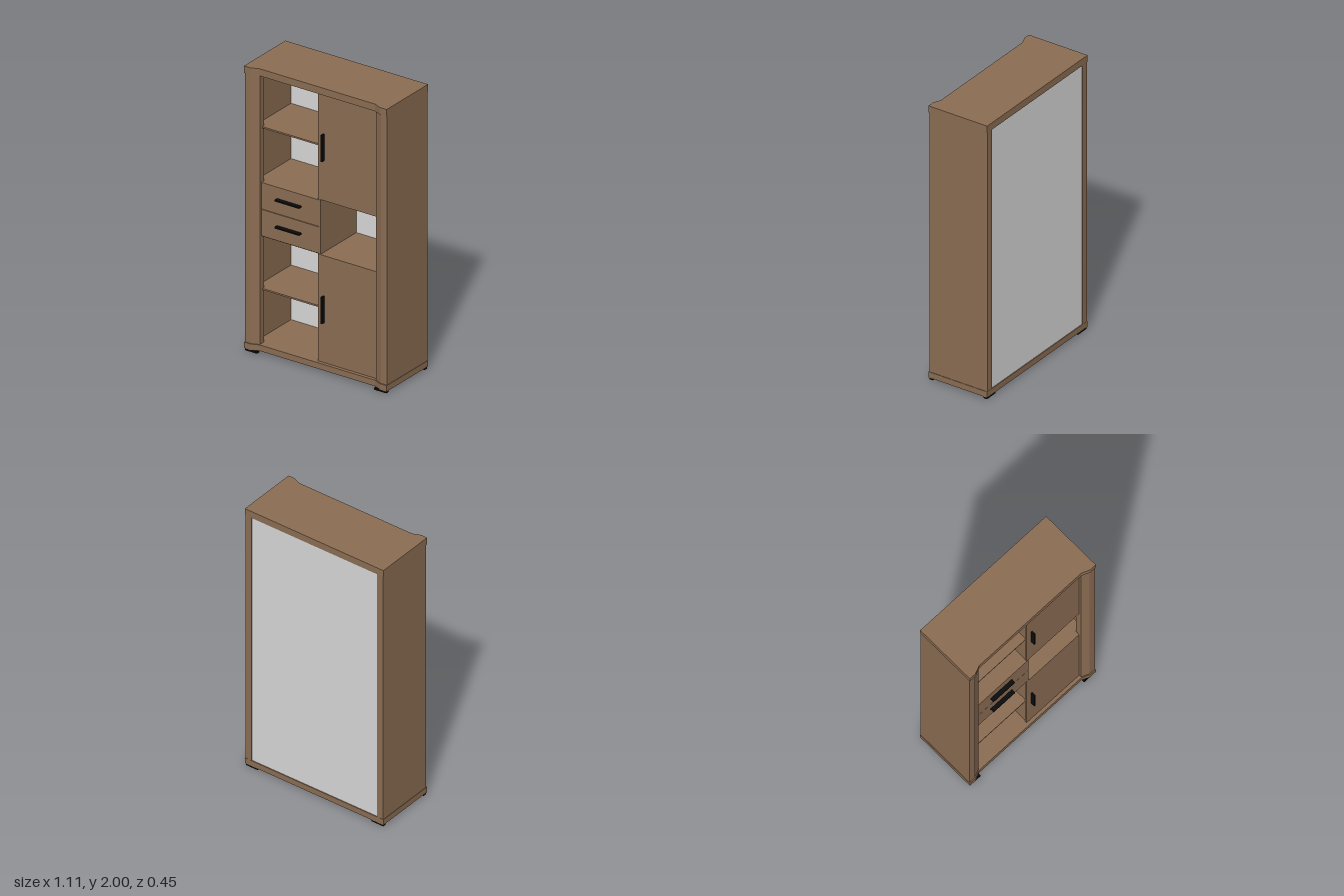
import * as THREE from 'three';

export function createModel() {
  const group = new THREE.Group();
  const wood = new THREE.MeshStandardMaterial({ color: 0x8b6d53 });
  wood.name = 'brown wood';
  const grey = new THREE.MeshStandardMaterial({ color: 0xd8d8d8 });
  grey.name = 'light grey back';
  const black = new THREE.MeshStandardMaterial({ color: 0x0c0c0c });
  black.name = 'black metal';

  const add = (name, geometry, material) => {
    const mesh = new THREE.Mesh(geometry, material);
    mesh.name = name;
    group.add(mesh);
    return mesh;
  };
  // Box given by its limits on each axis
  const box = (name, [x0, x1], [y0, y1], [z0, z1], material = wood) => {
    const mesh = add(name, new THREE.BoxGeometry(x1 - x0, y1 - y0, z1 - z0), material);
    mesh.position.set((x0 + x1) / 2, (y0 + y1) / 2, (z0 + z1) / 2);
    return mesh;
  };
  // Upright prism from a plan outline of [x, z] points
  const prism = (name, plan, y0, y1) => {
    const shape = new THREE.Shape(plan.map(([x, z]) => new THREE.Vector2(x, -z)));
    const geometry = new THREE.ExtrudeGeometry(shape, { depth: y1 - y0, bevelEnabled: false });
    geometry.rotateX(-Math.PI / 2).translate(0, y0, 0);
    return add(name, geometry, wood);
  };

  // Top and bottom boards with a recessed front edge
  const slab = [
    [-0.555, -0.228], [0.555, -0.228], [0.555, 0.227], [0.505, 0.227],
    [0.45, 0.204], [-0.45, 0.204], [-0.505, 0.227], [-0.555, 0.227],
  ];
  prism('topBoard', slab, 1.95, 2);
  prism('bottomBoard', slab, 0.015, 0.057);

  // Side walls, each widening into a chamfered front post
  for (const [side, s] of [['left', 1], ['right', -1]]) {
    const plan = [
      [0.552, -0.227], [0.552, 0.22], [0.505, 0.22], [0.452, 0.198],
      [0.452, 0.15], [0.502, 0.15], [0.502, -0.227],
    ].map(([x, z]) => [s * x, z]);
    prism(side + 'SideAndPost', plan, 0.057, 1.95);
  }

  // Back panel, set in slightly
  box('backPanel', [-0.502, 0.502], [0.057, 1.95], [-0.222, -0.215], grey);

  // Centre divider and fixed boards
  const depth = [-0.215, 0.178];
  box('centreDivider', [-0.006, 0.006], [0.057, 1.95], depth);
  for (const y of [0.806, 1.178]) box('drawerBayBoard', [-0.502, -0.006], [y, y + 0.012], [-0.215, 0.168]);
  for (const y of [0.8, 1.197]) box('nicheBoard', [0.006, 0.502], [y, y + 0.01], [-0.215, 0.168]);

  // Thin shelves in the open bays
  for (const y of [0.43, 1.568]) box('shelf', [-0.502, -0.006], [y, y + 0.011], [-0.215, 0.17]);

  // Doors with upright handles
  for (const [name, y0, y1, h] of [['lowerDoor', 0.058, 0.81, 0.34], ['upperDoor', 1.197, 1.949, 1.48]]) {
    box(name, [-0.012, 0.45], [y0, y1], [0.166, 0.181]);
    box(name + 'Handle', [0.029, 0.039], [h, h + 0.187], [0.181, 0.21], black);
  }

  // Drawers with level handles
  for (const [name, y] of [['lowerDrawer', 0.815], ['upperDrawer', 1.005]]) {
    box(name, [-0.453, 0.004], [y, y + 0.186], [0.166, 0.181]);
    box(name + 'Handle', [-0.33, -0.14], [y + 0.097, y + 0.107], [0.181, 0.21], black);
  }

  // Low feet at the corners
  for (const x of [-0.503, 0.503]) {
    for (const z of [-0.21, 0.21]) {
      box('foot', [x - 0.047, x + 0.047], [0, 0.015], [z - 0.013, z + 0.013], black);
    }
  }
  return group;
}
